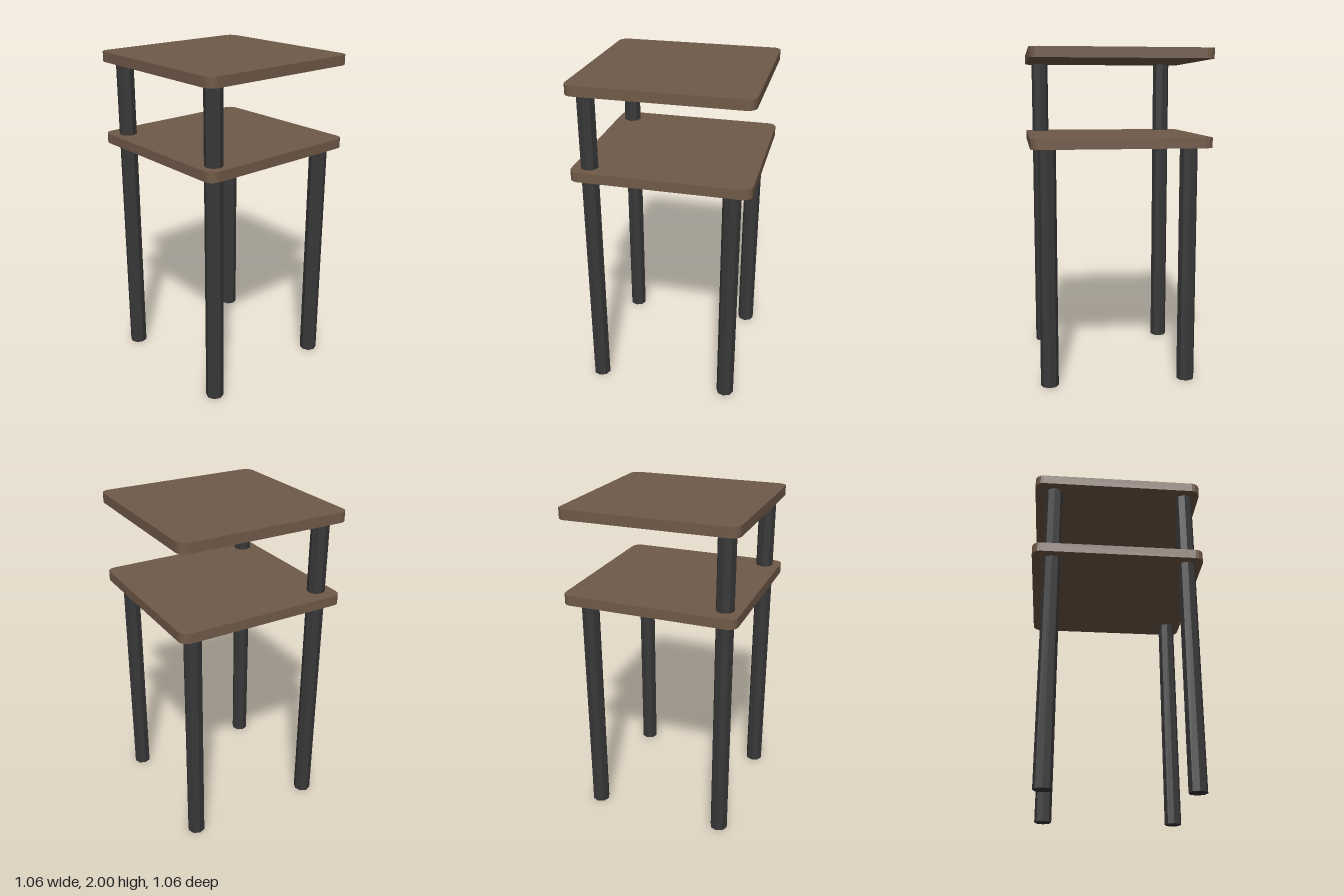
import * as THREE from 'three';

const wood = new THREE.MeshStandardMaterial({ color: 0x705a48, flatShading: true });
const metal = new THREE.MeshStandardMaterial({ color: 0x383838, flatShading: true });

// Square board with rounded corners, its top face at y = top
function board(name, top) {
  const h = 0.528, r = 0.053, t = 0.06;
  const s = new THREE.Shape();
  s.absarc(h - r, h - r, r, 0, Math.PI / 2);
  s.absarc(r - h, h - r, r, Math.PI / 2, Math.PI);
  s.absarc(r - h, r - h, r, Math.PI, Math.PI * 1.5);
  s.absarc(h - r, r - h, r, Math.PI * 1.5, Math.PI * 2);
  const geo = new THREE.ExtrudeGeometry(s, { depth: t, bevelEnabled: false, curveSegments: 2 });
  geo.rotateX(-Math.PI / 2).translate(0, top - t, 0);
  const mesh = new THREE.Mesh(geo, wood);
  mesh.name = name;
  return mesh;
}

// Eight-sided upright standing from y0 to y1
function post(name, x, z, y0, y1) {
  const geo = new THREE.CylinderGeometry(0.054, 0.054, y1 - y0, 8);
  const mesh = new THREE.Mesh(geo, metal);
  mesh.position.set(x, (y0 + y1) / 2, z);
  mesh.name = name;
  return mesh;
}

export function createModel() {
  const model = new THREE.Group();
  model.name = 'sideTable';
  model.add(board('upperShelf', 2), board('lowerShelf', 1.493));

  // Four legs, with two short posts carrying the upper shelf on the right side
  for (const [end, z] of [['front', 0.433], ['back', -0.405]]) {
    model.add(post(end + 'LeftLeg', 0.406, z, 0, 1.433));
    model.add(post(end + 'RightLeg', -0.43, z, 0, 1.433));
    model.add(post(end + 'UpperPost', -0.43, z, 1.493, 1.94));
  }
  return model;
}
